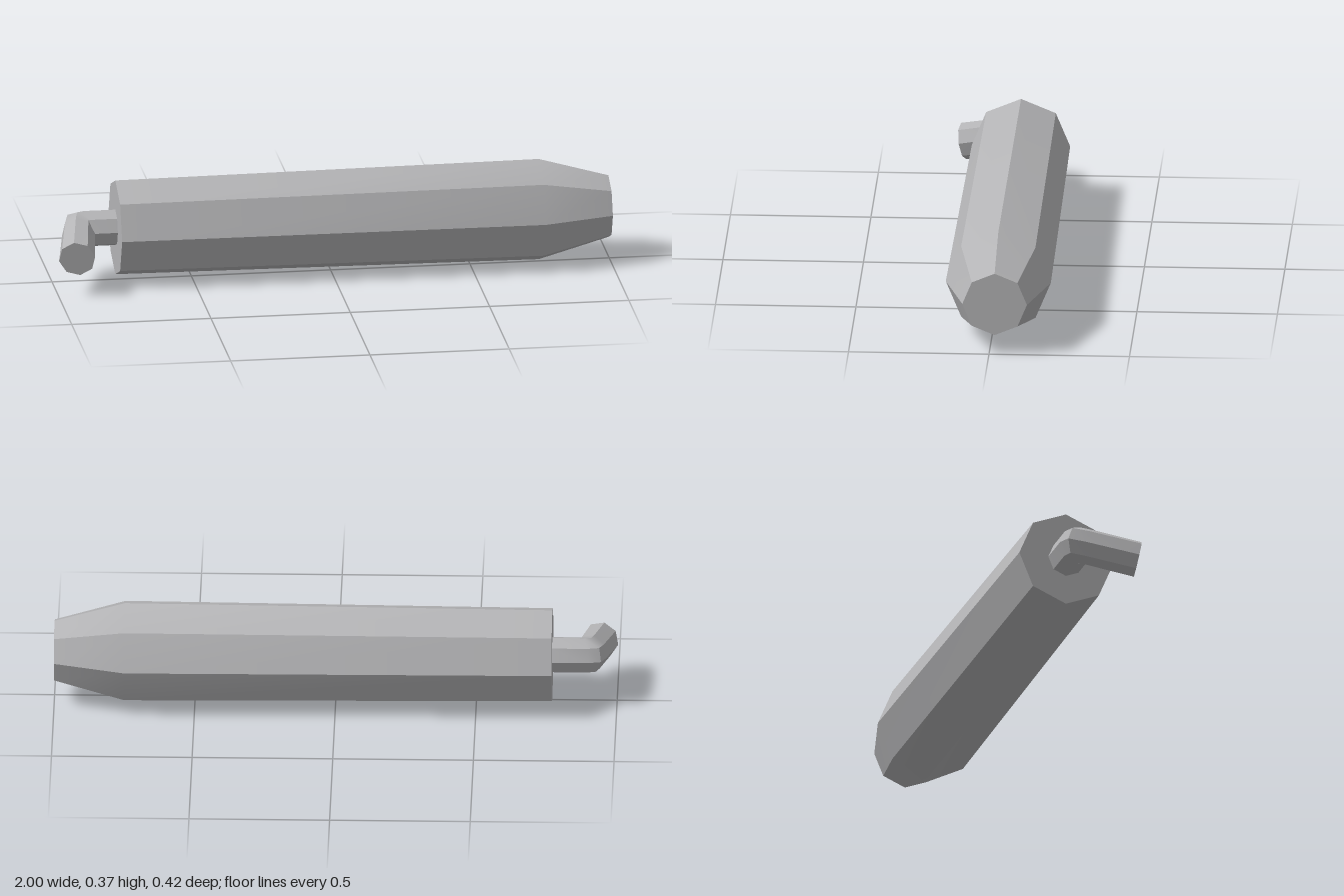
import * as THREE from 'three';
import { toCreasedNormals } from 'three/addons/utils/BufferGeometryUtils.js';

const SIDES = 8, AXIS_Y = 0.188, AXIS_Z = -0.02, CREASE = 0.6;

// Octagonal canister lying along x, tapered at the +x end
function bodyGeometry() {
  const profile = [[0, -0.77], [0.175, -0.77], [0.187, 0.75], [0.115, 1], [0, 1]]
    .map(([r, x]) => new THREE.Vector2(r, x));
  const geo = new THREE.LatheGeometry(profile, SIDES);
  geo.rotateZ(-Math.PI / 2);
  return toCreasedNormals(geo, CREASE);
}

// Bent pipe: each ring is given by its outer and inner point in the bend plane
function pipeGeometry() {
  const tilt = 0.2;
  const along = new THREE.Vector3(0, -Math.sin(tilt), Math.cos(tilt));
  const up = new THREE.Vector3(0, Math.cos(tilt), Math.sin(tilt));
  const inPlane = (x, s) => new THREE.Vector3(x, AXIS_Y, AXIS_Z).addScaledVector(along, s);
  const sections = [
    [-0.76, -0.066, -0.76, 0.066],
    [-0.9, -0.066, -0.855, 0.066],
    [-0.945, -0.05, -0.852, 0.06],
    [-0.963, 0.012, -0.85, 0.062],
    [-1.001, 0.204, -0.873, 0.23],
  ];
  const pos = [], index = [];
  for (const [xo, so, xi, si] of sections) {
    const outer = inPlane(xo, so), inner = inPlane(xi, si);
    const centre = outer.clone().add(inner).multiplyScalar(0.5);
    const half = inner.clone().sub(centre);
    for (let j = 0; j < SIDES; j++) {
      const a = (j / SIDES) * Math.PI * 2 - tilt;
      const p = centre.clone().addScaledVector(up, 0.066 * Math.cos(a)).addScaledVector(half, Math.sin(a));
      pos.push(p.x, p.y, p.z);
    }
  }
  const last = (sections.length - 1) * SIDES;
  for (let i = 0; i < last; i += SIDES) {
    for (let j = 0; j < SIDES; j++) {
      const k = (j + 1) % SIDES;
      index.push(i + j, i + SIDES + j, i + k, i + k, i + SIDES + j, i + SIDES + k);
    }
  }
  // closed outlet
  for (let j = 1; j < SIDES - 1; j++) index.push(last, last + j + 1, last + j);
  const geo = new THREE.BufferGeometry();
  geo.setAttribute('position', new THREE.Float32BufferAttribute(pos, 3));
  geo.setIndex(index);
  return toCreasedNormals(geo, CREASE);
}

export function createModel() {
  const group = new THREE.Group();
  const grey = new THREE.MeshStandardMaterial({ color: 0xb4b4b6 });
  grey.name = 'light grey metal';

  const body = new THREE.Mesh(bodyGeometry(), grey);
  body.name = 'canisterBody';
  body.position.set(0, AXIS_Y, AXIS_Z);

  const pipe = new THREE.Mesh(pipeGeometry(), grey);
  pipe.name = 'bentPipe';

  group.add(body, pipe);
  return group;
}
